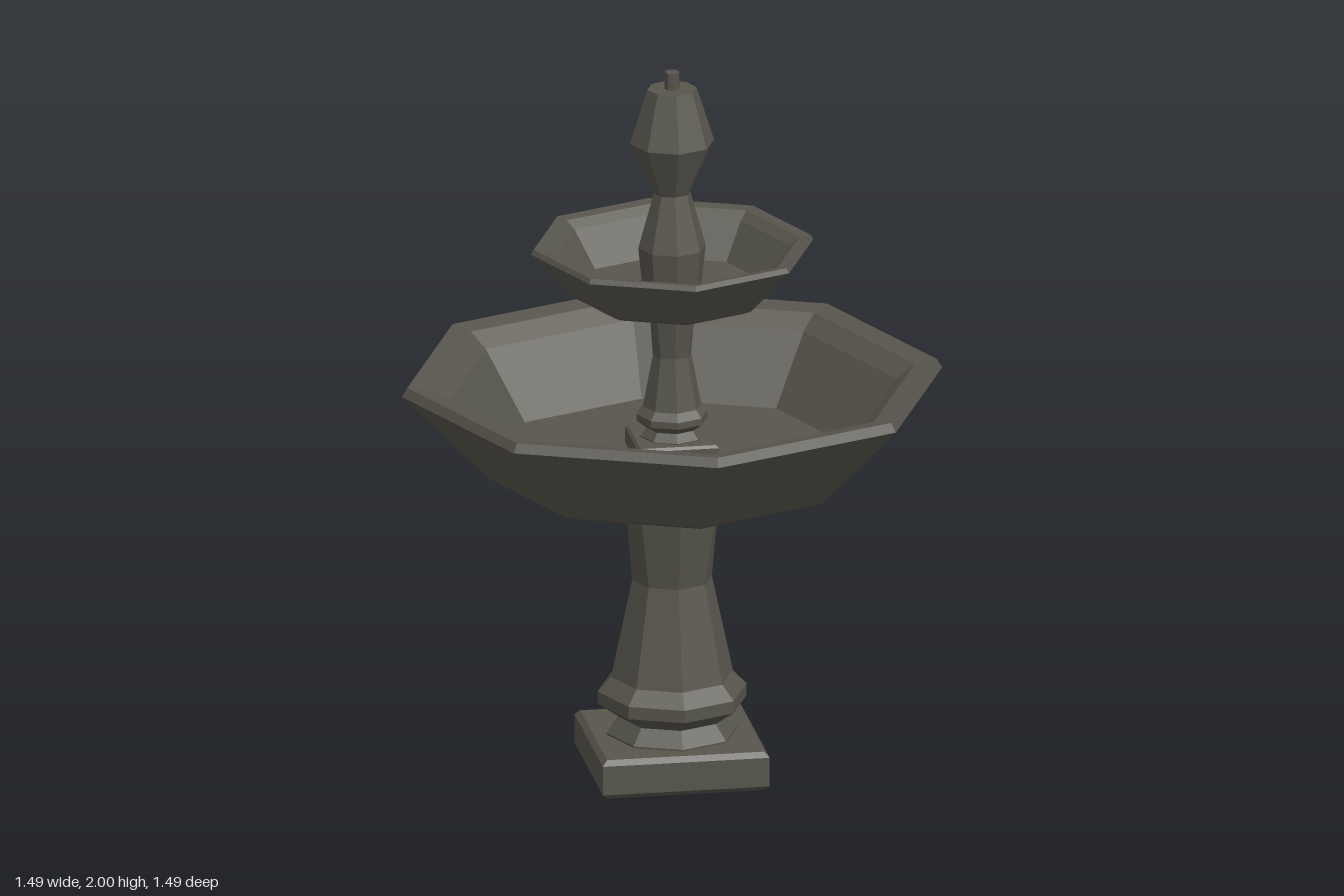
import * as THREE from 'three';

const stone = new THREE.MeshStandardMaterial({ color: 0x57554c, flatShading: true });

function addMesh(parent, name, geometry) {
  const flat = geometry.index ? geometry.toNonIndexed() : geometry;
  flat.computeVertexNormals();
  const mesh = new THREE.Mesh(flat, stone);
  mesh.name = name;
  parent.add(mesh);
  return mesh;
}

// Faceted turned shape; the profile is [radius, height] from bottom to top
function turned(profile, sides = 8) {
  return new THREE.LatheGeometry(profile.map(([r, y]) => new THREE.Vector2(r, y)), sides);
}

// Square slab with chamfered edges, standing on y = 0
function slab(half, height, bevel) {
  const a = half - bevel;
  const shape = new THREE.Shape();
  shape.moveTo(-a, -a).lineTo(a, -a).lineTo(a, a).lineTo(-a, a).closePath();
  const g = new THREE.ExtrudeGeometry(shape, {
    depth: height - 2 * bevel, bevelEnabled: true,
    bevelSize: bevel, bevelThickness: bevel, bevelSegments: 1,
  });
  return g.rotateX(-Math.PI / 2).translate(0, bevel, 0);
}

// Square foot with a moulded, waisted octagonal column
function pedestal(name) {
  const group = new THREE.Group();
  group.name = name;
  addMesh(group, 'plinth', slab(0.23, 0.11, 0.014));
  const g = turned([
    [0, 0.1], [0.18, 0.1], [0.18, 0.115], [0.145, 0.158], [0.205, 0.2], [0.205, 0.235],
    [0.168, 0.275], [0.11, 0.55], [0.162, 0.86], [0, 0.86],
  ]);
  // The side corners of the column head are pulled in a little
  const p = g.attributes.position;
  for (let i = 0; i < p.count; i++) {
    if (p.getY(i) > 0.8 && Math.abs(p.getX(i)) > 0.135) p.setX(i, Math.sign(p.getX(i)) * 0.135);
  }
  addMesh(group, 'column', g);
  return group;
}

// Octagonal basin with a rim, inner ledge and flat floor
function basin(name) {
  const group = new THREE.Group();
  group.name = name;
  addMesh(group, 'bowl', turned([
    [0, 0], [0.455, 0], [0.505, 0.022], [0.745, 0.27], [0.73, 0.295],
    [0.67, 0.285], [0.62, 0.245], [0.49, 0.06], [0, 0.06],
  ]));
  return group;
}

export function createModel() {
  const root = new THREE.Group();
  root.name = 'fountain';

  // Two tiers, the upper one a smaller copy of the lower
  root.add(pedestal('lowerPedestal'));
  const lowerBasin = basin('lowerBasin');
  lowerBasin.position.y = 0.84;
  const upperPedestal = pedestal('upperPedestal');
  upperPedestal.position.y = 0.9;
  upperPedestal.scale.set(0.48, 0.53, 0.48);
  const upperBasin = basin('upperBasin');
  upperBasin.position.y = 1.352;
  upperBasin.scale.set(0.523, 0.54, 0.523);
  root.add(lowerBasin, upperPedestal, upperBasin);

  // Finial and water spout
  addMesh(root, 'finial', turned([
    [0, 1.37], [0.08, 1.37], [0.093, 1.5], [0.05, 1.655], [0.116, 1.8], [0.068, 1.952], [0, 1.952],
  ]));
  addMesh(root, 'spout', turned([[0.02, 1.93], [0.02, 2], [0, 2]]));
  return root;
}
